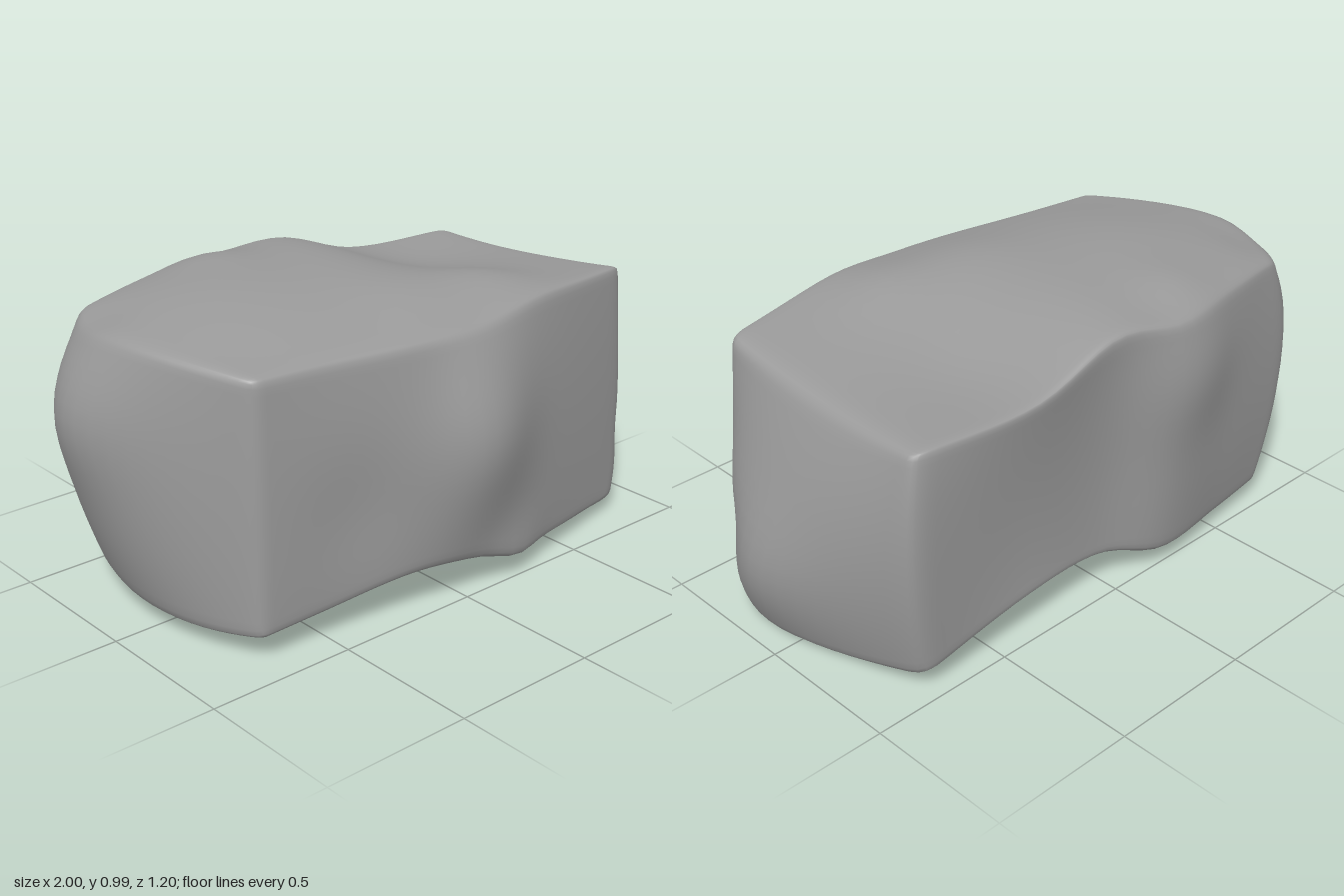
import * as THREE from 'three';
import { mergeVertices } from 'three/addons/utils/BufferGeometryUtils.js';

// End faces: nine [x, y, z] points, rows bottom to top, each row back to front
const leftEnd = [
  [-0.75, 0.07, -0.46], [-0.85, 0.055, 0.0], [-0.75, 0.09, 0.41],
  [-0.81, 0.5, -0.48], [-0.955, 0.56, -0.15], [-0.75, 0.5, 0.4],
  [-0.77, 0.91, -0.45], [-0.88, 0.935, -0.12], [-0.74, 0.9, 0.38],
];
const rightEnd = [
  [0.8, 0.07, -0.47], [0.91, 0.0, 0.13], [0.8, 0.07, 0.38],
  [0.85, 0.5, -0.49], [0.965, 0.38, 0.08], [0.82, 0.5, 0.38],
  [0.81, 0.86, -0.47], [0.82, 0.87, -0.05], [0.82, 0.915, 0.37],
];

// Cross-sections between the ends: x, then [y, z] in the same order
const sections = [
  [-0.5, [[0.07, -0.49], [0.02, -0.05], [0.11, 0.43], [0.5, -0.53], [0.5, 0],
    [0.5, 0.44], [0.93, -0.51], [0.99, -0.1], [0.9, 0.41]]],
  [-0.2, [[0.08, -0.525], [0.03, -0.05], [0.15, 0.48], [0.55, -0.56], [0.5, 0],
    [0.52, 0.5], [0.93, -0.55], [0.995, -0.1], [0.9, 0.46]]],
  [0.05, [[0.15, -0.47], [0.07, 0], [0.13, 0.5], [0.5, -0.48], [0.5, 0],
    [0.56, 0.56], [0.96, -0.52], [0.98, -0.08], [0.9, 0.48]]],
  [0.38, [[0.16, -0.48], [0.05, 0], [0.08, 0.47], [0.5, -0.475], [0.5, 0],
    [0.5, 0.485], [0.87, -0.515], [0.91, -0.08], [0.93, 0.45]]],
];

// Lumps and hollows: centre, push, reach
const lumps = [
  [[0.01, 0.56, 0.57], [0, 0, 0.043], 0.22], // peak on the front
  [[-0.38, 0.4, 0.45], [0, 0, -0.02], 0.2], // hollow beside the peak
  [[0.22, 0.09, 0.49], [0, -0.02, 0.025], 0.12], // foot below the peak
  [[-0.98, 0.66, -0.2], [-0.045, 0, 0], 0.2], // point of the left end
  [[0.98, 0.28, 0.12], [0.04, 0, 0], 0.2], // point of the right end
  [[0.93, 0.3, 0.28], [-0.03, 0, 0], 0.13], // flat beside the right point
  [[-0.25, 0.74, -0.57], [0, 0, -0.038], 0.21], // swell on the back
  [[-0.3, 0.97, -0.42], [0, 0.025, 0], 0.14], // high back rim
  [[-0.84, 0.93, -0.3], [0.01, -0.02, 0], 0.13], // worn left rim
  [[0.03, 0.97, 0.25], [0, 0.025, 0], 0.2], // swell on the top
  [[0.3, 0.94, 0.24], [0, 0.035, 0], 0.17], // swell along the front rim
  [[0.42, 0.9, -0.22], [0, -0.03, 0], 0.25], // hollow in the top
].map(([c, push, reach]) => ({ c: new THREE.Vector3(...c), push: new THREE.Vector3(...push), reach }));

// Weights of a parabola through values at -1, 0 and 1
const weights = (t) => [t * (t - 1) / 2, 1 - t * t, t * (t + 1) / 2];

export function createModel() {
  // Nine lengthwise curves joining matching points of the sections
  const rails = leftEnd.map((start, n) => new THREE.CatmullRomCurve3([
    new THREE.Vector3(...start),
    ...sections.map(([x, loop]) => new THREE.Vector3(x, ...loop[n])),
    new THREE.Vector3(...rightEnd[n]),
  ], false, 'catmullrom', 0.5));

  // Block with its grid tightened toward the edges, edges rounded, then bent to the rails
  let geometry = new THREE.BoxGeometry(2, 2, 2, 40, 24, 24);
  geometry.deleteAttribute('normal');
  geometry.deleteAttribute('uv');
  geometry = mergeVertices(geometry);
  const pos = geometry.attributes.position;
  const p = new THREE.Vector3(), core = new THREE.Vector3();
  const radius = 0.06;
  const tighten = (t) => Math.sin(t * Math.PI / 2);
  for (let i = 0; i < pos.count; i++) {
    p.fromBufferAttribute(pos, i);
    p.set(tighten(p.x), tighten(p.y), tighten(p.z));
    core.copy(p).clampScalar(radius - 1, 1 - radius);
    p.sub(core).setLength(radius).add(core);

    const wy = weights(p.y), wz = weights(p.z);
    const t = THREE.MathUtils.clamp((p.x + 1) / 2, 0, 1);
    const out = new THREE.Vector3();
    rails.forEach((rail, n) => out.addScaledVector(rail.getPoint(t), wy[Math.floor(n / 3)] * wz[n % 3]));
    const base = out.clone();
    lumps.forEach(({ c, push, reach }) =>
      out.addScaledVector(push, Math.exp(-base.distanceToSquared(c) / reach ** 2)));
    pos.setXYZ(i, out.x, out.y, out.z);
  }

  // Stand on the ground, centred
  geometry.computeBoundingBox();
  const box = geometry.boundingBox;
  const mid = box.getCenter(new THREE.Vector3());
  geometry.translate(-mid.x, -box.min.y, -mid.z);
  geometry.computeVertexNormals();

  const rock = new THREE.Mesh(geometry, new THREE.MeshStandardMaterial({ color: 0x999999 }));
  rock.name = 'rock';
  const group = new THREE.Group();
  group.name = 'boulder';
  group.add(rock);
  return group;
}
